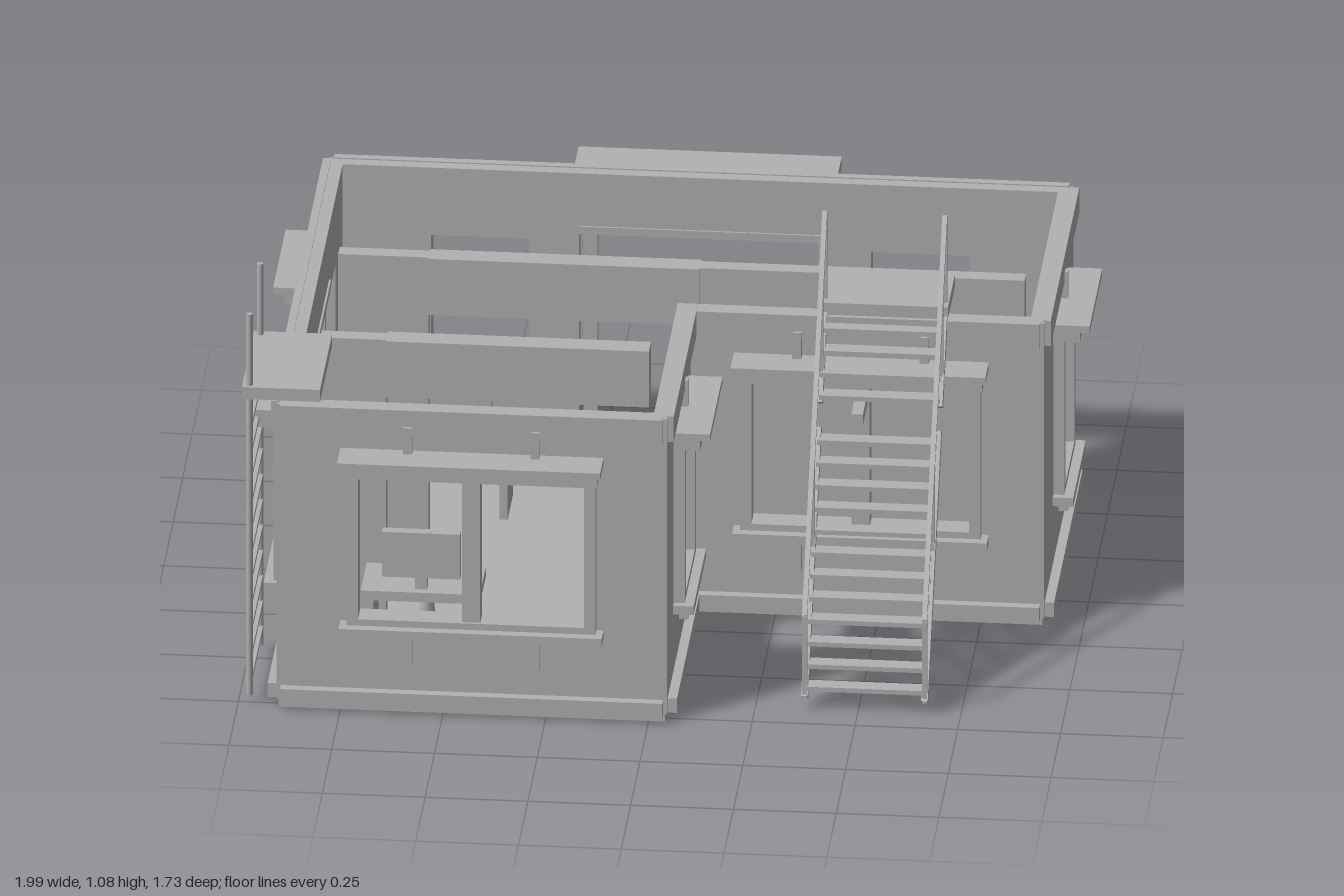
import * as THREE from 'three';

const grey = new THREE.MeshStandardMaterial({ color: 0xb2b2b2 });
grey.name = 'plain grey';

function add(parent, name, geometry) {
  const mesh = new THREE.Mesh(geometry, grey);
  mesh.name = name;
  parent.add(mesh);
  return mesh;
}

// Box given by its limits on each axis
function box(parent, name, x0, x1, y0, y1, z0, z1) {
  const m = add(parent, name, new THREE.BoxGeometry(x1 - x0, y1 - y0, z1 - z0));
  m.position.set((x0 + x1) / 2, (y0 + y1) / 2, (z0 + z1) / 2);
  return m;
}

// Square bar between two points
function bar(parent, name, a, b, w, h = w) {
  const p = new THREE.Vector3(...a), q = new THREE.Vector3(...b);
  const m = add(parent, name, new THREE.BoxGeometry(w, h, p.distanceTo(q)));
  m.position.copy(p).lerp(q, 0.5);
  m.lookAt(q);
  return m;
}

function group(parent, name) {
  const g = new THREE.Group();
  g.name = name;
  parent.add(g);
  return g;
}

const SILL = 0.25, HEAD = 0.63, TOP = 0.81, DOOR = 0.67;

// Window surround: hood, jambs, sill and small fixing blocks
function windowFrame(parent, c, halfW, d) {
  const g = group(parent, 'window');
  const o = halfW - 0.035, f = d - 0.015;
  box(g, 'hood', c - halfW, c + halfW, 0.682, 0.70, f, d + 0.075);
  box(g, 'hoodBase', c - halfW + 0.01, c + halfW - 0.01, 0.65, 0.682, f, d + 0.05);
  box(g, 'sill', c - halfW, c + halfW, 0.215, 0.238, f, d + 0.035);
  box(g, 'frameBottom', c - o, c + o, 0.238, SILL + 0.005, d - 0.05, d + 0.012);
  box(g, 'frameTop', c - o, c + o, HEAD, 0.65, d - 0.05, d + 0.012);
  for (const s of [-1, 1]) {
    const x = c + s * (o + 0.004);
    box(g, 'jamb', x - 0.014, x + 0.014, 0.238, 0.65, d - 0.05, d + 0.012);
  }
  const wide = halfW > 0.25;
  if (wide) box(g, 'mullion', c - 0.022, c + 0.022, SILL, HEAD, d - 0.045, d + 0.005);
  for (const u of wide ? [c - 0.155, c + 0.155] : [c]) {
    box(g, 'upperBlock', u - 0.011, u + 0.011, 0.70, 0.77, f, d + 0.008);
    box(g, 'lowerBlock', u - 0.011, u + 0.011, 0.13, 0.215, f, d + 0.008);
  }
}

// Wall with window and door openings; local +z faces outwards
function wall(parent, name, angle, d, u0, u1, windows, doors = []) {
  const g = group(parent, name);
  g.rotation.y = angle;
  const holes = windows.map(([c, h]) => [c - h + 0.035, c + h - 0.035, SILL, HEAD])
    .concat(doors.map(([a, b]) => [a, b, 0.02, DOOR]));
  const cuts = [...new Set([u0, u1, ...holes.flatMap(h => [h[0], h[1]])])].sort((a, b) => a - b);
  for (let i = 0; i + 1 < cuts.length; i++) {
    const a = cuts[i], b = cuts[i + 1], mid = (a + b) / 2;
    let y = 0.02;
    const open = holes.filter(h => h[0] < mid && h[1] > mid).sort((p, q) => p[2] - q[2]);
    for (const h of open) {
      if (h[2] > y) box(g, 'wallPanel', a, b, y, h[2], d - 0.05, d - 0.015);
      y = Math.max(y, h[3]);
    }
    box(g, 'wallPanel', a, b, y, TOP, d - 0.05, d - 0.015);
  }
  // Projecting bands at the top and the foot
  box(g, 'topBand', u0 + 0.01, u1 - 0.01, 0.745, TOP + 0.003, d - 0.02, d);
  const ends = [u0 + 0.01, ...doors.flat(), u1 - 0.01];
  for (let i = 0; i < ends.length; i += 2)
    box(g, 'footBand', ends[i], ends[i + 1], 0.02, 0.058, d - 0.02, d + 0.008);
  for (const [c, h] of windows) windowFrame(g, c, h, d);
  for (const [a, b] of doors) {
    box(g, 'doorHead', a, b, DOOR - 0.02, DOOR, d - 0.055, d - 0.005);
  }
}

// Inner partition with one wide doorway
function partition(parent, x0, x1, a, b, z) {
  const g = group(parent, 'partition');
  box(g, 'partitionWall', x0, a, 0.02, 0.78, z - 0.02, z + 0.02);
  if (x1 > b + 0.02) box(g, 'partitionWall', b, x1, 0.02, 0.78, z - 0.02, z + 0.02);
  box(g, 'partitionLintel', a, b, 0.63, 0.78, z - 0.028, z + 0.028);
}

// Desk with a screen and a round stool
function workplace(parent, z) {
  const g = group(parent, 'workplace');
  g.position.z = z;
  box(g, 'deskTop', -0.72, -0.43, 0.195, 0.22, -0.08, 0.08);
  for (const x of [-0.71, -0.46]) box(g, 'deskSide', x, x + 0.02, 0.02, 0.195, -0.07, 0.07);
  box(g, 'screen', -0.67, -0.48, 0.25, 0.37, 0.035, 0.06);
  box(g, 'screenStand', -0.59, -0.56, 0.22, 0.25, 0.035, 0.06);
  const seat = add(g, 'stoolSeat', new THREE.CylinderGeometry(0.063, 0.063, 0.025, 24));
  seat.position.set(-0.58, 0.14, -0.165);
  const stem = add(g, 'stoolStem', new THREE.CylinderGeometry(0.015, 0.02, 0.11, 12));
  stem.position.set(-0.58, 0.075, -0.165);
}

export function createModel() {
  const model = new THREE.Group();
  model.name = 'house';

  // L-shaped floor slab
  const plan = new THREE.Shape([[-0.9, -0.77], [0.04, -0.77], [0.04, -0.14], [0.9, -0.14], [0.9, 0.63], [-0.9, 0.63]]
    .map(p => new THREE.Vector2(...p)));
  const slab = new THREE.ExtrudeGeometry(plan, { depth: 0.022, bevelEnabled: false });
  add(model, 'floor', slab.rotateX(-Math.PI / 2));

  // Outer walls
  const q = Math.PI / 2;
  wall(model, 'frontWall', 0, 0.785, -0.905, 0.045, [[-0.43, 0.32]]);
  wall(model, 'wingWall', q, 0.06, -0.77, -0.11, [[-0.45, 0.165]]);
  wall(model, 'recessedWall', 0, 0.16, 0.045, 0.905, [[0.46, 0.31]]);
  wall(model, 'sideWall', q, 0.92, -0.145, 0.635, [[0.245, 0.165]]);
  wall(model, 'backWall', 2 * q, 0.65, -0.905, 0.905, [[-0.535, 0.165], [0.535, 0.165]], [[-0.295, 0.295]]);
  wall(model, 'ladderWall', -q, 0.92, -0.635, 0.77, [[-0.285, 0.165], [0.41, 0.165]], [[-0.24, 0.37]]);

  // Partitions and furniture
  partition(model, -0.84, 0.83, -0.62, 0.04, -0.175);
  partition(model, -0.84, -0.03, -0.68, -0.04, 0.3);
  workplace(model, -0.36);
  workplace(model, 0.48);
  box(model, 'cabinet', 0.50, 0.645, 0.02, 0.41, -0.43, -0.28);
  box(model, 'cornerUnit', 0.68, 0.868, 0.02, 0.3, -0.6, -0.52);

  // Back porch
  const porch = group(model, 'porch');
  box(porch, 'canopy', -0.32, 0.32, 0.72, 0.757, -0.865, -0.635);
  for (const x of [-0.285, 0.285])
    box(porch, 'porchPost', x - 0.017, x + 0.017, 0.015, 0.72, -0.83, -0.797);
  box(porch, 'wallBox', -0.37, -0.325, 0.275, 0.415, -0.695, -0.63);
  box(porch, 'wallBoxFoot', -0.36, -0.335, 0.215, 0.275, -0.685, -0.63);

  // Outside stair: two flights, landing and handrails
  const stair = group(model, 'stair');
  for (const x of [0.37, 0.662]) {
    bar(stair, 'lowerStringer', [x, 0.03, 0.665], [x, 0.585, 0.305], 0.016, 0.026);
    bar(stair, 'upperStringer', [x, 0.635, 0.272], [x, 0.82, 0.152], 0.016, 0.026);
    bar(stair, 'handrail', [x, 0.25, 0.668], [x, 1.08, 0.13], 0.012);
    for (const [z, y0, y1] of [[0.667, 0.03, 0.25], [0.47, 0.33, 0.555], [0.237, 0.68, 0.915], [0.13, 0.82, 1.08]])
      bar(stair, 'railPost', [x, y0, z], [x, y1, z], 0.012);
  }
  for (let i = 0; i < 17; i++) {
    if (i === 12) continue;
    const y = 0.055 + i * 0.046, z = 0.65 - i * 0.0298;
    box(stair, 'tread', 0.37, 0.662, y - 0.006, y + 0.006, z - 0.02, z + 0.02);
  }
  box(stair, 'landing', 0.362, 0.672, 0.818, 0.85, -0.03, 0.16);
  box(stair, 'wallLamp', 0.45, 0.478, 0.59, 0.62, 0.14, 0.3);

  // Ladder with its roof platform
  const ladder = group(model, 'ladder');
  for (const z of [0.462, 0.75]) {
    const rail = add(ladder, 'ladderRail', new THREE.CylinderGeometry(0.008, 0.008, 1.02, 8));
    rail.position.set(-0.973, 0.53, z);
  }
  for (let y = 0.065; y < 0.8; y += 0.068)
    box(ladder, 'rung', -0.98, -0.966, y - 0.006, y + 0.006, 0.462, 0.75);
  box(ladder, 'platform', -0.99, -0.8, 0.818, 0.85, 0.445, 0.765);

  return model;
}
